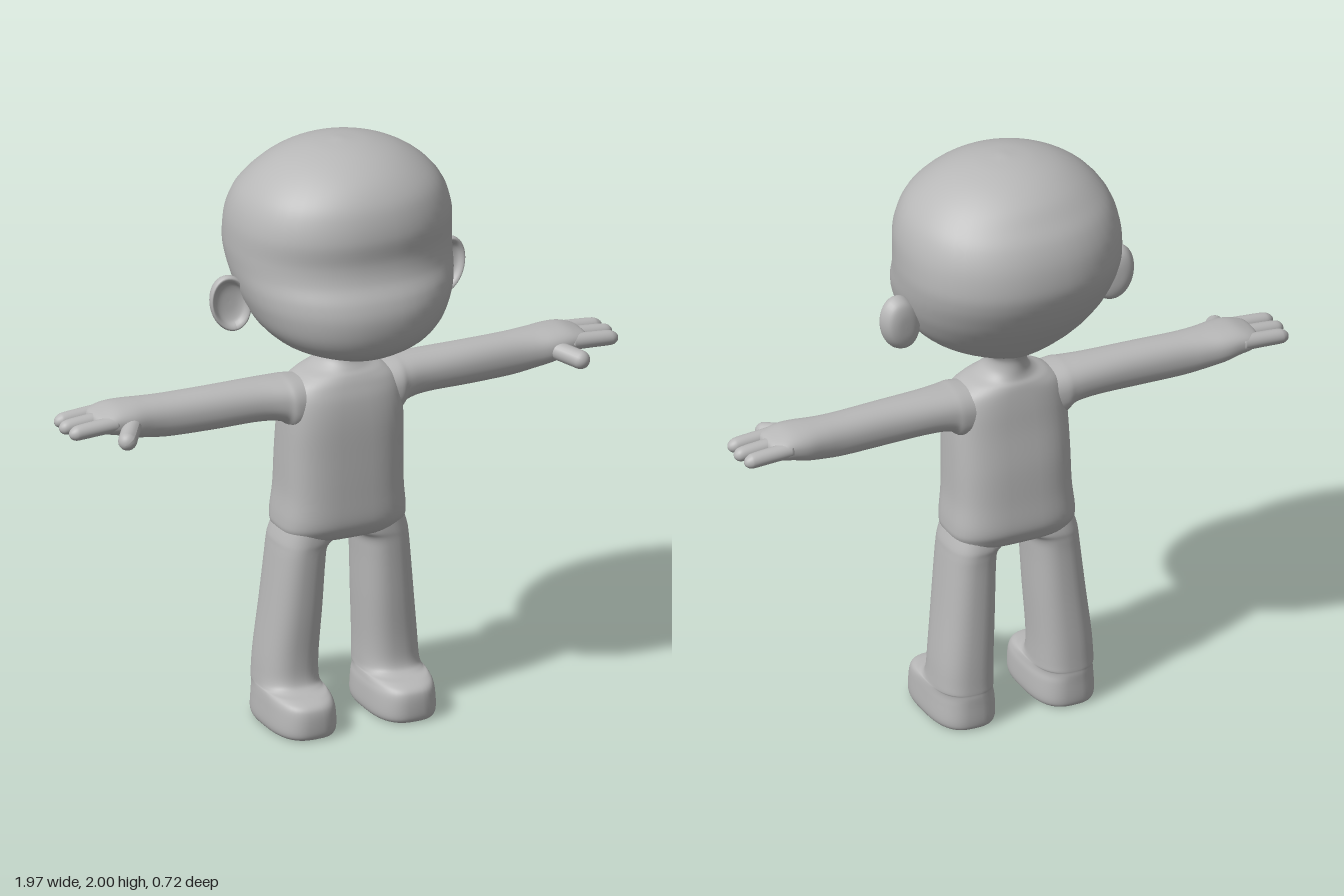
import * as THREE from 'three';

const SEG = 48, SUB = 6;

// Smooth closed loft. Each section: [t, aMin, aMax, bMin, bMax, n] with n the superellipse power.
// Along 'y': a = x, b = z. Along 'x': a = z, b = y.
function loft(axis, sections) {
  const pos = [], idx = [];
  const place = (t, a, b) => (axis === 'y' ? pos.push(a, t, b) : pos.push(t, b, a));
  const at = (i) => sections[Math.max(0, Math.min(sections.length - 1, i))];
  const bow = (c, n) => Math.sign(c) * Math.pow(Math.abs(c), 2 / n);
  const rings = (sections.length - 1) * SUB + 1;
  for (let r = 0; r < rings; r++) {
    const k = Math.min(Math.floor(r / SUB), sections.length - 2), u = r / SUB - k;
    const s = at(k).map((p1, c) => {
      const p0 = at(k - 1)[c], p2 = at(k + 1)[c], p3 = at(k + 2)[c];
      return p1 + 0.5 * u * (p2 - p0 + u * (2 * p0 - 5 * p1 + 4 * p2 - p3 + u * (3 * (p1 - p2) + p3 - p0)));
    });
    const [t, a0, a1, b0, b1, n] = s;
    for (let j = 0; j < SEG; j++) {
      const q = (j / SEG) * Math.PI * 2;
      place(t, (a0 + a1) / 2 + ((a1 - a0) / 2) * bow(Math.cos(q), n), (b0 + b1) / 2 + ((b1 - b0) / 2) * bow(Math.sin(q), n));
    }
  }
  for (let r = 0; r < rings - 1; r++) for (let j = 0; j < SEG; j++) {
    const a = r * SEG + j, b = r * SEG + ((j + 1) % SEG);
    idx.push(a, a + SEG, b + SEG, a, b + SEG, b);
  }
  // End caps
  const first = at(0), last = at(sections.length - 1), c0 = rings * SEG;
  for (const s of [first, last]) place(s[0], (s[1] + s[2]) / 2, (s[3] + s[4]) / 2);
  for (let j = 0; j < SEG; j++) {
    const j2 = (j + 1) % SEG, top = (rings - 1) * SEG;
    idx.push(c0, j, j2, c0 + 1, top + j2, top + j);
  }
  const g = new THREE.BufferGeometry();
  g.setAttribute('position', new THREE.Float32BufferAttribute(pos, 3));
  g.setIndex(idx);
  g.computeVertexNormals();
  return g;
}

// Mirror across x with the winding flipped
function mirrored(geo) {
  const g = geo.clone().scale(-1, 1, 1), i = g.index.array;
  for (let k = 0; k < i.length; k += 3) [i[k + 1], i[k + 2]] = [i[k + 2], i[k + 1]];
  g.computeVertexNormals();
  return g;
}

export function createModel() {
  const model = new THREE.Group();
  model.name = 'figure';
  const clay = new THREE.MeshStandardMaterial({ color: 0xb8b8b8 });
  clay.name = 'grey clay';

  const add = (name, geo) => {
    const m = new THREE.Mesh(geo, clay);
    m.name = name;
    model.add(m);
  };
  const pair = (name, geo) => {
    add('left' + name, geo);
    add('right' + name, mirrored(geo));
  };
  // Sections symmetric in x: [y, halfWidth, back, front, n]
  const sym = (list) => loft('y', list.map(([y, w, b, f, n]) => [y, -w, w, b, f, n]));

  // Head with brow hollow and full cheeks
  add('head', sym([
    [1.3, 0.05, -0.08, 0.16, 2], [1.305, 0.1, -0.11, 0.215, 2], [1.33, 0.18, -0.15, 0.278, 2.1],
    [1.365, 0.25, -0.185, 0.322, 2.2], [1.42, 0.305, -0.235, 0.35, 2.2], [1.49, 0.34, -0.29, 0.36, 2.2],
    [1.55, 0.358, -0.325, 0.348, 2.2], [1.61, 0.367, -0.35, 0.318, 2.2], [1.67, 0.371, -0.36, 0.307, 2.2],
    [1.75, 0.367, -0.35, 0.312, 2.2], [1.82, 0.348, -0.323, 0.3, 2.15], [1.875, 0.313, -0.282, 0.275, 2.1],
    [1.925, 0.258, -0.235, 0.23, 2], [1.965, 0.185, -0.17, 0.165, 2], [1.99, 0.1, -0.095, 0.09, 2],
    [2.0, 0.012, -0.015, 0.01, 2],
  ]));

  // Torso flowing into the neck
  add('torso', sym([
    [0.632, 0.1, -0.1, 0.06, 2.6], [0.642, 0.19, -0.145, 0.095, 3], [0.67, 0.215, -0.165, 0.118, 3],
    [0.71, 0.217, -0.175, 0.13, 3], [0.8, 0.208, -0.168, 0.132, 3], [0.92, 0.206, -0.158, 0.132, 3],
    [1.04, 0.204, -0.14, 0.13, 3], [1.12, 0.2, -0.13, 0.122, 2.8], [1.17, 0.182, -0.122, 0.108, 2.6],
    [1.2, 0.145, -0.115, 0.095, 2.3], [1.22, 0.1, -0.105, 0.08, 2.1], [1.245, 0.072, -0.1, 0.065, 2],
    [1.28, 0.065, -0.098, 0.058, 2], [1.31, 0.085, -0.105, 0.075, 2], [1.34, 0.1, -0.11, 0.08, 2],
  ]));

  // Legs with feet
  pair('Leg', loft('y', [
    [0, 0.09, 0.265, -0.145, 0.18, 2.8], [0.006, 0.074, 0.281, -0.16, 0.196, 2.8],
    [0.03, 0.067, 0.288, -0.165, 0.203, 2.8], [0.085, 0.069, 0.286, -0.165, 0.202, 2.7],
    [0.112, 0.074, 0.284, -0.165, 0.19, 2.6], [0.126, 0.077, 0.282, -0.164, 0.155, 2.6],
    [0.134, 0.079, 0.28, -0.164, 0.105, 2.6], [0.16, 0.08, 0.278, -0.163, 0.08, 2.5],
    [0.24, 0.079, 0.272, -0.16, 0.076, 2.5], [0.4, 0.071, 0.254, -0.152, 0.086, 2.5],
    [0.55, 0.065, 0.238, -0.146, 0.094, 2.5], [0.61, 0.058, 0.231, -0.146, 0.097, 2.5],
    [0.645, 0.03, 0.225, -0.146, 0.1, 2.5], [0.72, 0.015, 0.2, -0.13, 0.1, 2.5],
  ]));

  // Arms ending in palms
  pair('Arm', loft('x', [
    [0.1, -0.1, 0.08, 1.02, 1.19, 2.4], [0.18, -0.108, 0.088, 1.025, 1.2, 2.4],
    [0.22, -0.104, 0.075, 1.053, 1.201, 2.3], [0.3, -0.1, 0.06, 1.062, 1.202, 2.2],
    [0.45, -0.096, 0.05, 1.06, 1.202, 2.2], [0.6, -0.1, 0.042, 1.061, 1.201, 2.2],
    [0.68, -0.108, 0.044, 1.07, 1.202, 2.2], [0.75, -0.119, 0.054, 1.085, 1.203, 2.3],
    [0.8, -0.12, 0.053, 1.102, 1.2, 2.4], [0.84, -0.117, 0.047, 1.113, 1.189, 2.5],
    [0.868, -0.1, 0.035, 1.125, 1.176, 2.5], [0.876, -0.06, 0, 1.14, 1.16, 2.2],
  ]));

  // Three fingers
  [[-0.094, 0.976], [-0.036, 0.985], [0.025, 0.978]].forEach(([z, tip], i) => {
    const ring = (x, y, r) => [x, z - r, z + r, y - r, y + r, 2];
    pair('Finger' + (i + 1), loft('x', [
      ring(0.81, 1.154, 0.027), ring(0.88, 1.15, 0.026), ring(0.94, 1.146, 0.025),
      ring(tip - 0.018, 1.144, 0.022), ring(tip - 0.005, 1.143, 0.013), ring(tip, 1.143, 0.003),
    ]));
  });

  // Thumbs
  const from = new THREE.Vector3(0.745, 1.142, 0.015), to = new THREE.Vector3(0.808, 1.122, 0.104);
  const dir = to.clone().sub(from), mid = from.clone().add(to).multiplyScalar(0.5);
  const turn = new THREE.Quaternion().setFromUnitVectors(new THREE.Vector3(0, 1, 0), dir.clone().normalize());
  pair('Thumb', new THREE.CapsuleGeometry(0.031, dir.length(), 8, 20).applyQuaternion(turn).translate(mid.x, mid.y, mid.z));

  // Ears: oval cups hollowed on the front
  const cup = [[0, -0.033], [0.45, -0.031], [0.8, -0.02], [0.97, 0.004], [1, 0.02], [0.94, 0.031],
    [0.82, 0.027], [0.68, 0.012], [0.4, 0.004], [0, 0.002]];
  const rim = new THREE.SplineCurve(cup.map(([r, h]) => new THREE.Vector2(r, h))).getPoints(36);
  rim.forEach((p) => { p.x = Math.max(0, p.x); });
  const ear = new THREE.LatheGeometry(rim, 40).rotateX(Math.PI / 2).scale(0.068, 0.098, 1);
  ear.rotateZ(-0.22).rotateY(0.12).translate(0.382, 1.484, -0.034);
  pair('Ear', ear);

  return model;
}
